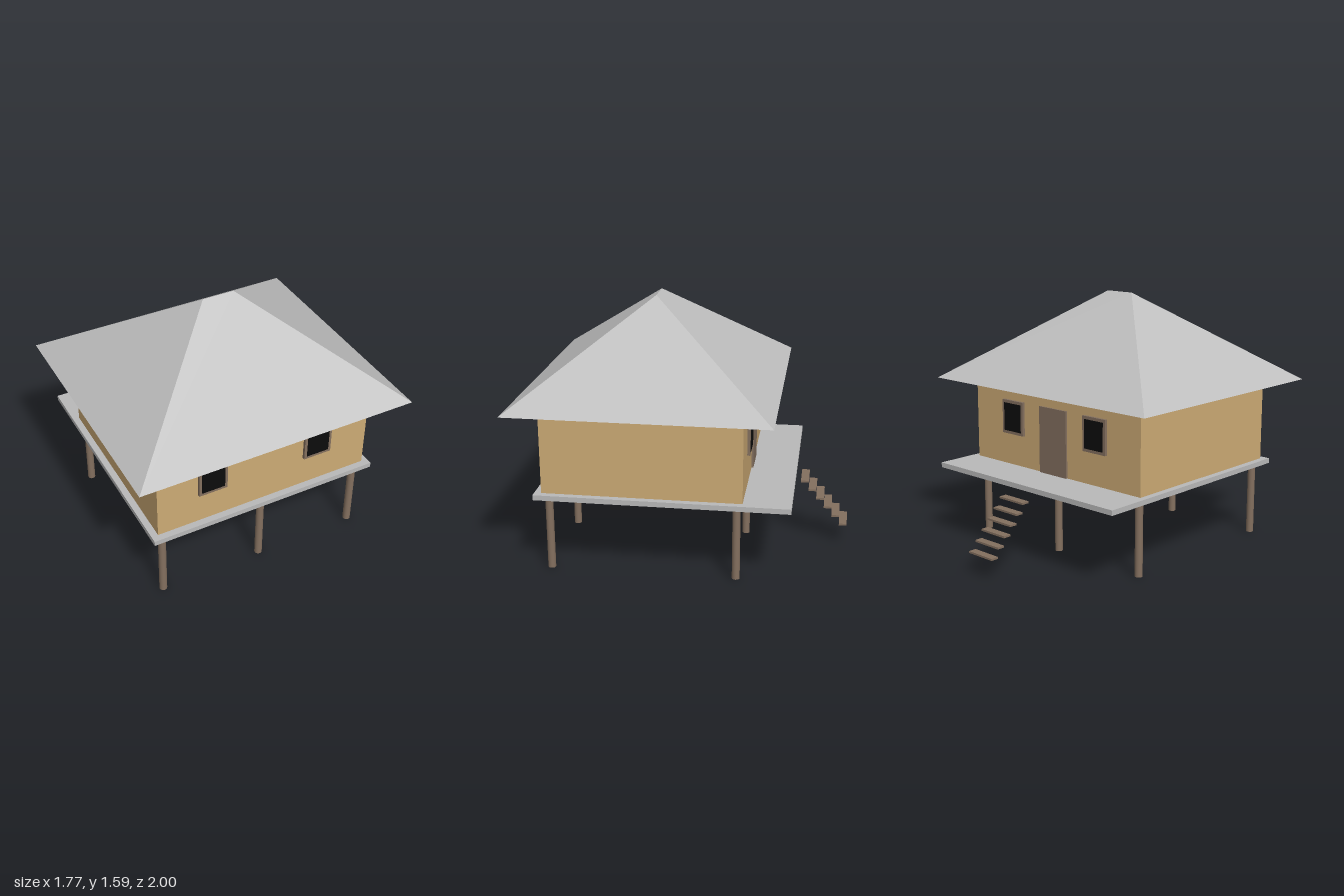
import * as THREE from 'three';

const mat = (name, color, extra = {}) => {
  const m = new THREE.MeshStandardMaterial({ color, ...extra });
  m.name = name;
  return m;
};

export function createModel() {
  const house = new THREE.Group();
  house.name = 'stiltHouse';

  const roofGrey = mat('roofGrey', 0xbebebe, { side: THREE.DoubleSide, flatShading: true });
  const deckGrey = mat('deckGrey', 0xbababa);
  const wallTan = mat('wallTan', 0xcdab75);
  const wood = mat('woodBrown', 0x84705f);
  const glass = mat('glassBlack', 0x0c0c0c);

  const add = (name, geometry, material, parent = house) => {
    const mesh = new THREE.Mesh(geometry, material);
    mesh.name = name;
    parent.add(mesh);
    return mesh;
  };
  // Box given by its lower and upper limits
  const box = (name, material, [x0, x1], [y0, y1], [z0, z1], parent) => {
    const g = new THREE.BoxGeometry(x1 - x0, y1 - y0, z1 - z0);
    g.translate((x0 + x1) / 2, (y0 + y1) / 2, (z0 + z1) / 2);
    return add(name, g, material, parent);
  };

  // Deck and walls
  box('deck', deckGrey, [-0.745, 0.745], [0.468, 0.5], [-0.672, 0.862]);
  box('walls', wallTan, [-0.704, 0.704], [0.5, 1.027], [-0.386, 0.82]);

  // Hipped roof, open underneath
  const eaveY = 1.027, ridgeY = 1.59, ridgeZ = 0.215;
  const a = [-0.885, eaveY, 1], b = [0.885, eaveY, 1];
  const c = [0.885, eaveY, -0.57], d = [-0.885, eaveY, -0.57];
  const l = [-0.1, ridgeY, ridgeZ], r = [0.1, ridgeY, ridgeZ];
  const faces = [a, b, r, a, r, l, b, c, r, c, d, l, c, l, r, d, a, l];
  const roof = new THREE.BufferGeometry();
  roof.setAttribute('position', new THREE.Float32BufferAttribute(faces.flat(), 3));
  roof.computeVertexNormals();
  add('roof', roof, roofGrey);

  // Round stilts in two rows of three
  const stilt = new THREE.CylinderGeometry(0.024, 0.024, 0.468, 16);
  for (const z of [0.783, -0.348]) {
    for (const x of [-0.664, 0, 0.664]) {
      add('stilt', stilt, wood).position.set(x, 0.234, z);
    }
  }

  // Framed windows, two on the front and two on the back
  const frameShape = new THREE.Shape();
  frameShape.moveTo(-0.092, -0.109).lineTo(0.092, -0.109).lineTo(0.092, 0.109).lineTo(-0.092, 0.109);
  const opening = new THREE.Path();
  opening.moveTo(-0.074, -0.09).lineTo(-0.074, 0.09).lineTo(0.074, 0.09).lineTo(0.074, -0.09);
  frameShape.holes.push(opening);
  const frame = new THREE.ExtrudeGeometry(frameShape, { depth: 0.018, bevelEnabled: false });
  for (const front of [true, false]) {
    for (const x of [-0.352, 0.352]) {
      const win = new THREE.Group();
      win.name = 'window';
      win.position.set(x, 0.813, front ? 0.82 : -0.386);
      win.rotation.y = front ? 0 : Math.PI;
      add('windowFrame', frame, wood, win);
      box('windowPane', glass, [-0.074, 0.074], [-0.09, 0.09], [0.014, 0.021], win);
      house.add(win);
    }
  }

  // Door at the back
  box('door', wood, [-0.115, 0.115], [0.5, 0.922], [-0.398, -0.386]);

  // Floating stair treads
  for (let i = 0; i < 6; i++) {
    const y = 0.417 - i * 0.0564, z = -0.7 - i * 0.05;
    box('stairTread', wood, [-0.1, 0.1], [y - 0.006, y + 0.006], [z - 0.05, z]);
  }

  return house;
}
